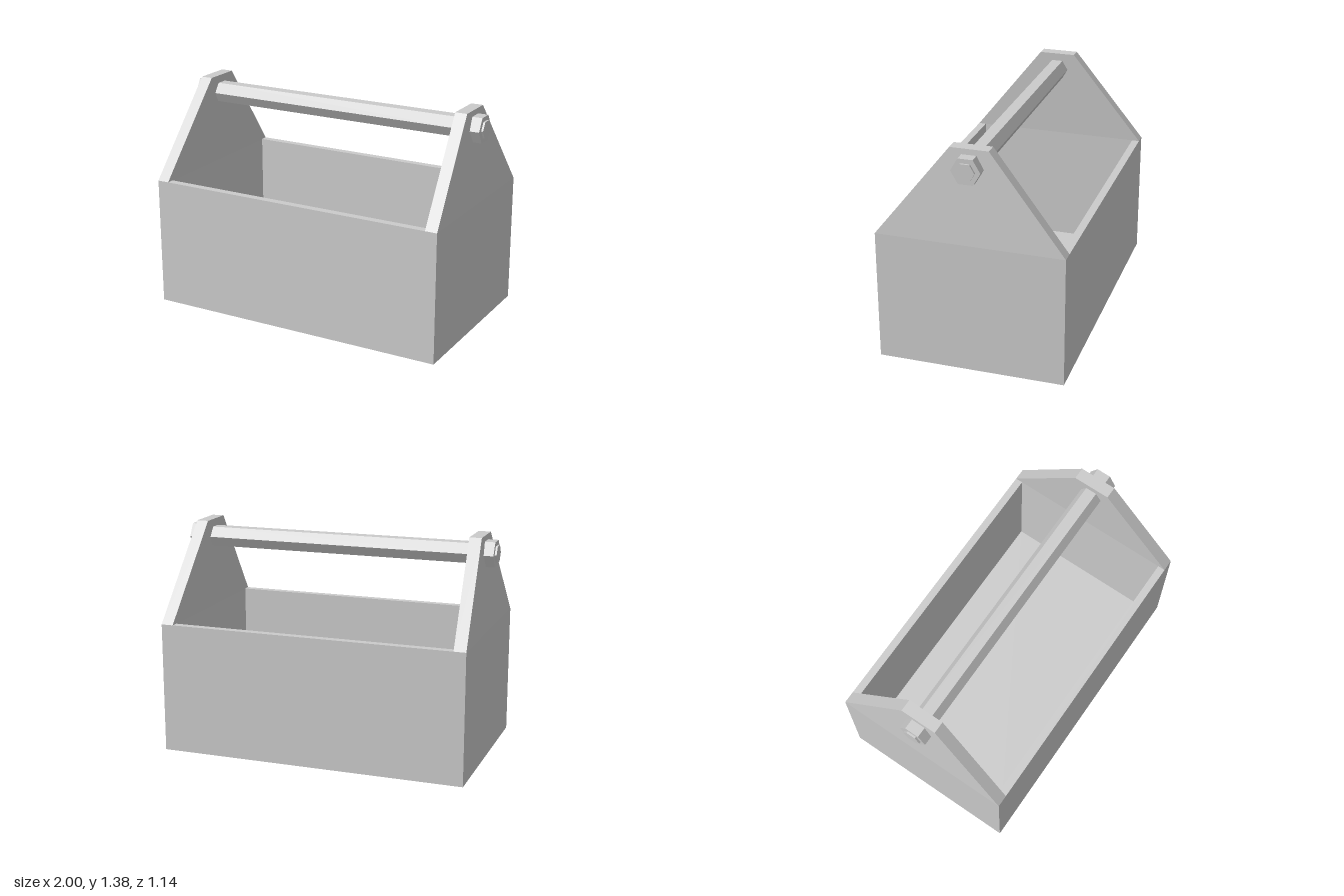
import * as THREE from 'three';

const material = new THREE.MeshStandardMaterial({ color: 0xcccccc, flatShading: true });

function addMesh(parent, name, geometry, x = 0, y = 0, z = 0) {
  const mesh = new THREE.Mesh(geometry, material);
  mesh.name = name;
  mesh.position.set(x, y, z);
  parent.add(mesh);
  return mesh;
}

// Six-sided bar lying along x, with two corners pointing along z
function hexBar(radius, length) {
  return new THREE.CylinderGeometry(radius, radius, length, 6).rotateZ(Math.PI / 2);
}

// Solid lofted upward through rectangular sections [y, xInner, xOuter, halfDepth]
function loft(sections) {
  const positions = [];
  const index = [];
  for (const [y, x0, x1, d] of sections) {
    positions.push(x0, y, d, x1, y, d, x1, y, -d, x0, y, -d);
  }
  const last = (sections.length - 1) * 4;
  for (let base = 0; base < last; base += 4) {
    for (let i = 0; i < 4; i++) {
      const a = base + i;
      const b = base + (i + 1) % 4;
      index.push(a, b, b + 4, a, b + 4, a + 4);
    }
  }
  index.push(0, 2, 1, 0, 3, 2); // bottom cap
  index.push(last, last + 1, last + 2, last, last + 2, last + 3); // top cap
  const geometry = new THREE.BufferGeometry();
  geometry.setAttribute('position', new THREE.Float32BufferAttribute(positions, 3));
  geometry.setIndex(index);
  const flat = geometry.toNonIndexed();
  flat.computeVertexNormals();
  return flat;
}

export function createModel() {
  const model = new THREE.Group();
  model.name = 'toolBox';

  const wallHeight = 0.81;
  const halfDepth = 0.57;
  const innerX = 0.885;
  const wall = 0.047;
  const handleY = 1.275;

  // Open tray: floor and the two long walls
  addMesh(model, 'floor', new THREE.BoxGeometry(innerX * 2, 0.05, (halfDepth - wall) * 2), 0, 0.025, 0);
  for (const [name, side] of [['frontWall', 1], ['backWall', -1]]) {
    addMesh(model, name, new THREE.BoxGeometry(innerX * 2, wallHeight, wall),
      0, wallHeight / 2, side * (halfDepth - wall / 2));
  }

  // Each end: panel that tapers and leans inward above the tray, nut and bolt tip
  for (const [name, turn] of [['leftEnd', 0], ['rightEnd', Math.PI]]) {
    const end = new THREE.Group();
    end.name = name;
    end.rotation.y = turn;
    addMesh(end, 'endPanel', loft([
      [0, innerX, 0.96, halfDepth],
      [wallHeight, innerX, 0.96, halfDepth],
      [1.385, 0.847, 0.922, 0.115],
    ]));
    addMesh(end, 'nut', hexBar(0.088, 0.078), 0.949, handleY, 0);
    addMesh(end, 'boltTip', hexBar(0.057, 0.06), 0.97, handleY, 0);
    model.add(end);
  }

  // Hexagonal carrying handle
  addMesh(model, 'handle', hexBar(0.07, 1.76), 0, handleY, 0);

  return model;
}
